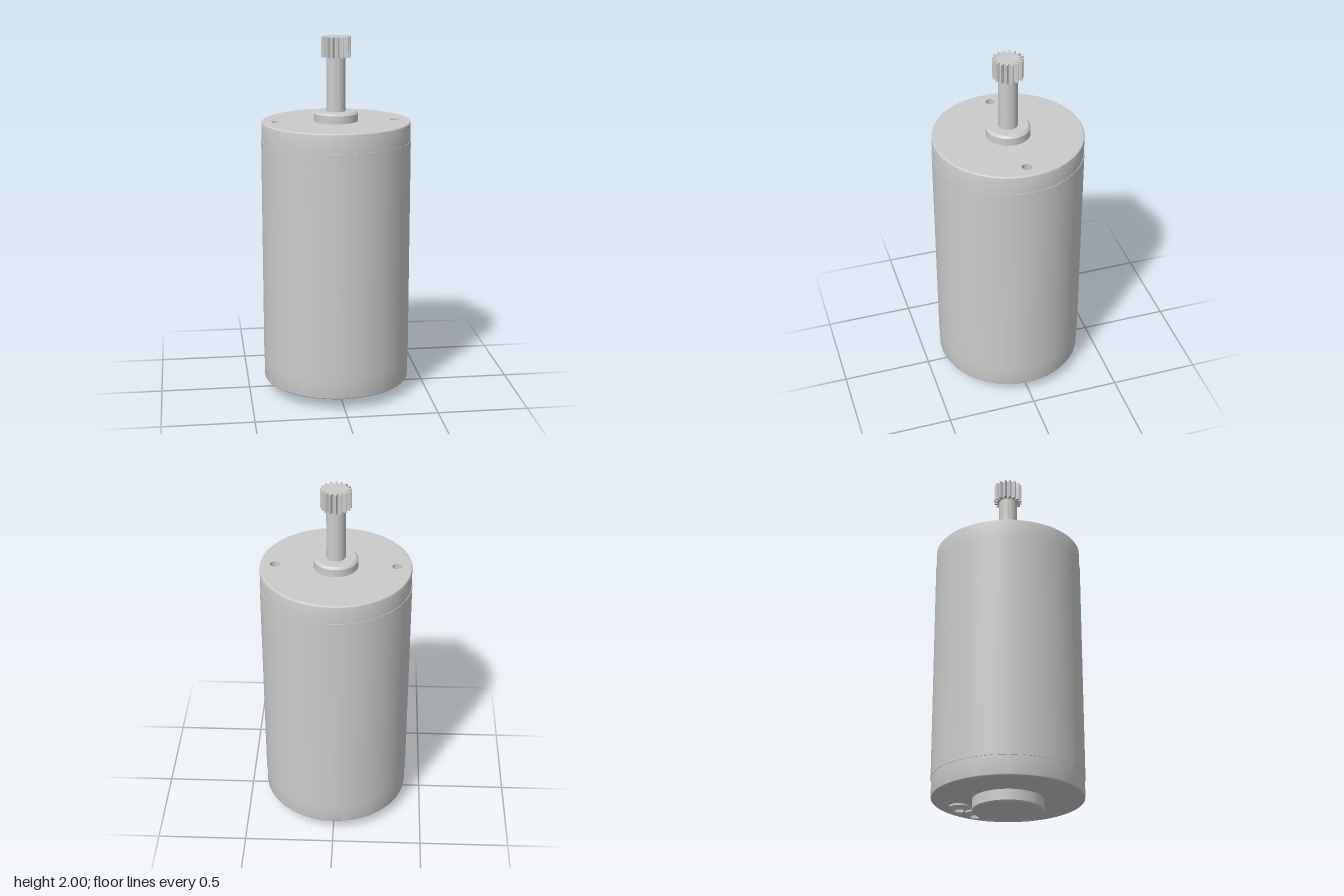
import * as THREE from 'three';
import { toCreasedNormals } from 'three/addons/utils/BufferGeometryUtils.js';

const grey = new THREE.MeshStandardMaterial({ color: 0xcccccc });
const greyDouble = new THREE.MeshStandardMaterial({ color: 0xcccccc, side: THREE.DoubleSide });

export function createModel() {
  const model = new THREE.Group();

  function add(name, geometry, material = grey) {
    const mesh = new THREE.Mesh(toCreasedNormals(geometry, 0.5), material);
    mesh.name = name;
    model.add(mesh);
    return mesh;
  }
  // Turned part from [radius, height] pairs, listed bottom to top
  function turned(name, profile, segments = 96, material = grey) {
    const points = profile.map(([r, y]) => new THREE.Vector2(r, y));
    return add(name, new THREE.LatheGeometry(points, segments), material);
  }
  // Upright prism from a shape; shape y maps to -z
  function prism(name, shape, y0, y1) {
    const geometry = new THREE.ExtrudeGeometry(shape, {
      depth: y1 - y0, bevelEnabled: false, curveSegments: 48,
    });
    geometry.rotateX(-Math.PI / 2).translate(0, y0, 0);
    return add(name, geometry);
  }
  function circle(r, x = 0) {
    const path = new THREE.Path();
    path.absarc(x, 0, r, 0, Math.PI * 2, false);
    return path;
  }

  // Casing: end caps with softened rims around a slightly wider sleeve
  const R = 0.412, capR = 0.409, rim = 0.008;
  const arc = (t) => [capR - rim + rim * Math.cos(t), rim * Math.sin(t)];
  const rimArc = [0, 1, 2, 3, 4].map((i) => arc((i * Math.PI) / 8));
  turned('casing', [
    [0, 0.066],
    ...rimArc.slice().reverse().map(([r, h]) => [r, 0.066 + rim - h]),
    [capR, 0.175], [R, 0.175], [R, 1.435], [capR, 1.435],
    ...rimArc.map(([r, h]) => [r, 1.54 - rim + h]),
  ], 128);

  // Top face, pierced by two mounting holes
  const holeX = 0.328, holeR = 0.027;
  const face = new THREE.Shape(circle(capR - rim).getPoints(128));
  face.holes.push(circle(holeR, holeX), circle(holeR, -holeX));
  const faceGeometry = new THREE.ShapeGeometry(face, 32);
  faceGeometry.rotateX(-Math.PI / 2).translate(0, 1.54, 0);
  add('topFace', faceGeometry);

  // Blind drilled holes with conical bottoms
  for (const side of [1, -1]) {
    const hole = turned('mountingHole', [[0, 1.444], [holeR, 1.46], [holeR, 1.54]], 32, greyDouble);
    hole.position.x = side * holeX;
  }

  // Front and rear bearing housings
  turned('frontBearing', [[0.121, 1.535], [0.121, 1.583], [0.109, 1.595], [0, 1.595]]);
  turned('rearBearing', [[0, 0], [0.183, 0], [0.191, 0.008], [0.191, 0.07]]);

  // Shaft with a narrow flat on its +x side
  const shaftR = 0.052, half = 0.24;
  turned('shaftBase', [[shaftR, 1.59], [shaftR, 1.637], [0, 1.637]], 48);
  const flatted = new THREE.Shape();
  flatted.absarc(0, 0, shaftR, half, Math.PI * 2 - half, false);
  flatted.closePath();
  prism('flattedShaft', flatted, 1.637, 1.892);
  turned('shaftTip', [[0, 1.89], [shaftR, 1.89], [shaftR, 2], [0, 2]], 48);

  // Pinion: each tooth is [fraction of pitch, radius] from root to tip and back
  const teeth = 16, pitch = (Math.PI * 2) / teeth;
  const tooth = [
    [-0.5, 0.0585], [-0.38, 0.0595], [-0.29, 0.063], [-0.22, 0.072], [-0.14, 0.079], [-0.06, 0.082],
    [0.06, 0.082], [0.14, 0.079], [0.22, 0.072], [0.29, 0.063], [0.38, 0.0595],
  ];
  const outline = [];
  for (let i = 0; i < teeth; i++) {
    for (const [f, r] of tooth) {
      const a = (i + f) * pitch;
      outline.push(new THREE.Vector2(r * Math.cos(a), r * Math.sin(a)));
    }
  }
  const gear = new THREE.Shape(outline);
  gear.holes.push(circle(shaftR));
  prism('pinion', gear, 1.89, 2);

  // Two tapered, hollow terminal collars on the underside
  for (const [x, z] of [[0.242, -0.143], [0.147, -0.242]]) {
    const collar = turned('terminalCollar', [
      [0, 0.062], [0.029, 0.062], [0.029, 0.038], [0.033, 0.038], [0.053, 0.056], [0.053, 0.068],
    ], 32, greyDouble);
    collar.position.set(x, 0, z);
  }

  return model;
}
